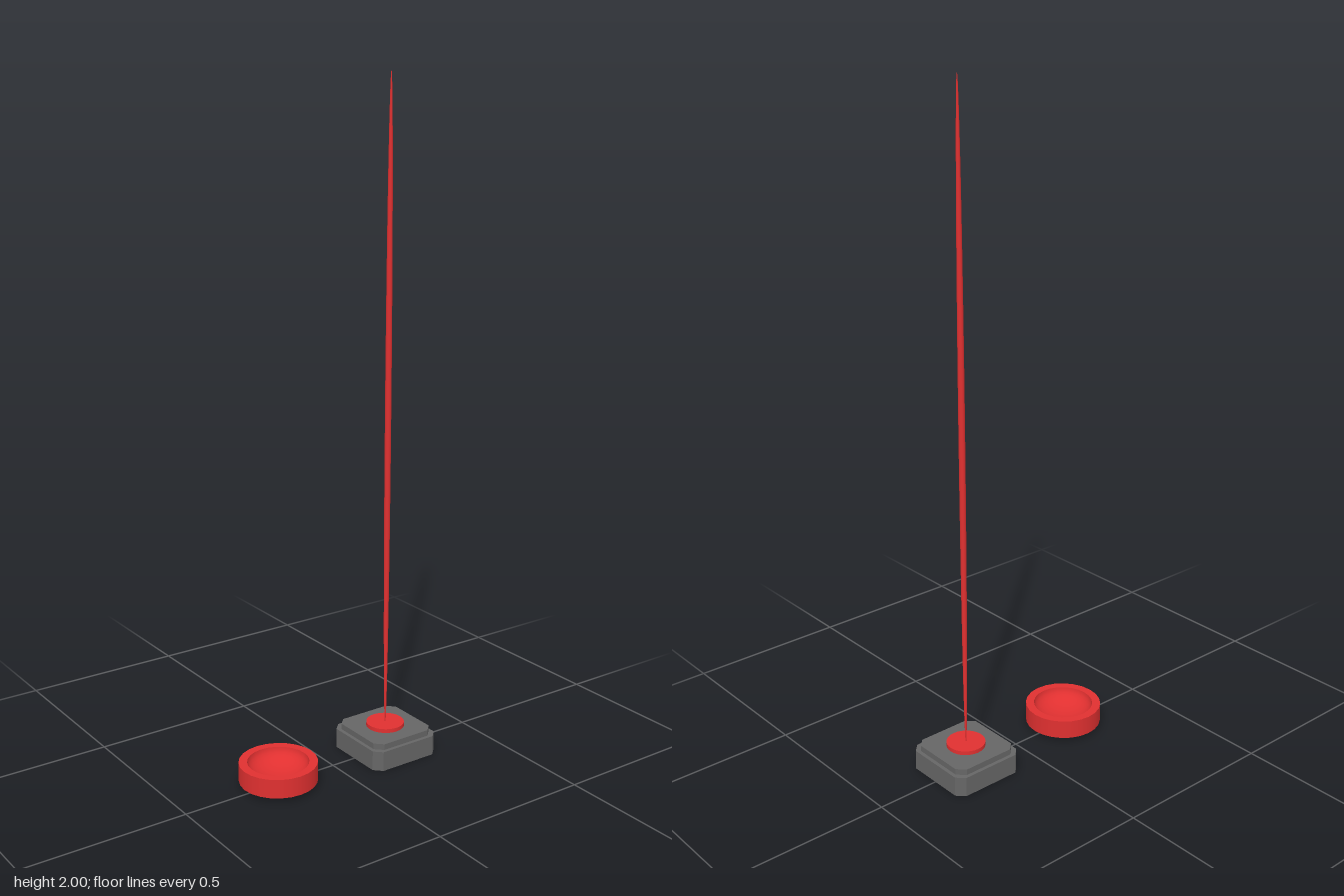
import * as THREE from 'three';

const red = new THREE.MeshStandardMaterial({ color: 0xe03030 });
const grey = new THREE.MeshStandardMaterial({ color: 0x666666 });

// Square slab with cut corners, standing from y0 to y1
function cutSlab(name, half, cut, y0, y1) {
  const h = half, k = half - cut;
  const outline = [[k, -h], [h, -k], [h, k], [k, h], [-k, h], [-h, k], [-h, -k], [-k, -h]];
  const shape = new THREE.Shape(outline.map(([x, y]) => new THREE.Vector2(x, y)));
  const geo = new THREE.ExtrudeGeometry(shape, { depth: y1 - y0, bevelEnabled: false });
  geo.rotateX(-Math.PI / 2).translate(0, y0, 0);
  const mesh = new THREE.Mesh(geo, grey);
  mesh.name = name;
  return mesh;
}

function createBase() {
  const group = new THREE.Group();
  group.name = 'base';
  group.add(cutSlab('lowerPlinth', 0.115, 0.023, 0, 0.06));
  group.add(cutSlab('upperPlinth', 0.104, 0.023, 0.06, 0.078));

  // Round emitter plate on top
  const plate = new THREE.Mesh(new THREE.CylinderGeometry(0.057, 0.057, 0.012, 32), red);
  plate.name = 'emitterPlate';
  plate.position.y = 0.084;
  group.add(plate);

  // Long thin spindle of light
  const beam = new THREE.Mesh(new THREE.SphereGeometry(1, 24, 32), red);
  beam.name = 'beam';
  beam.scale.set(0.0092, 0.96, 0.0092);
  beam.position.y = 1.04;
  group.add(beam);
  return group;
}

function createCup() {
  const group = new THREE.Group();
  group.name = 'cup';
  const bottom = 0.014, top = 0.071, outer = 0.115, inner = 0.09, depth = 0.047;

  // Outer wall
  const wall = new THREE.Mesh(
    new THREE.CylinderGeometry(outer, outer, top - bottom, 24, 1, true), red);
  wall.name = 'cupWall';
  wall.position.y = (top + bottom) / 2;

  // Closed underside
  const floor = new THREE.Mesh(new THREE.CircleGeometry(outer, 24), red);
  floor.name = 'cupUnderside';
  floor.rotation.x = Math.PI / 2;
  floor.position.y = bottom;

  // Flat rim, reaching slightly under the wall facets
  const rim = new THREE.Mesh(new THREE.RingGeometry(inner, outer, 24), red);
  rim.name = 'cupRim';
  rim.rotation.x = -Math.PI / 2;
  rim.position.y = top;

  // Hollow bowl, profile running from the centre up to the rim
  const profile = [];
  for (let i = 0; i <= 10; i++) {
    const a = (i / 10) * Math.PI / 2;
    profile.push(new THREE.Vector2(inner * Math.sin(a), top - depth * Math.cos(a)));
  }
  const bowlMaterial = red.clone();
  bowlMaterial.side = THREE.DoubleSide;
  // Reversed so that the face points inward
  const bowl = new THREE.Mesh(new THREE.LatheGeometry(profile.reverse(), 24), bowlMaterial);
  bowl.name = 'cupBowl';

  group.add(wall, floor, rim, bowl);
  return group;
}

export function createModel() {
  const model = new THREE.Group();
  model.name = 'beamMarkerAndCup';
  const base = createBase();
  base.position.z = -0.193;
  const cup = createCup();
  cup.position.z = 0.193;
  model.add(base, cup);
  return model;
}
